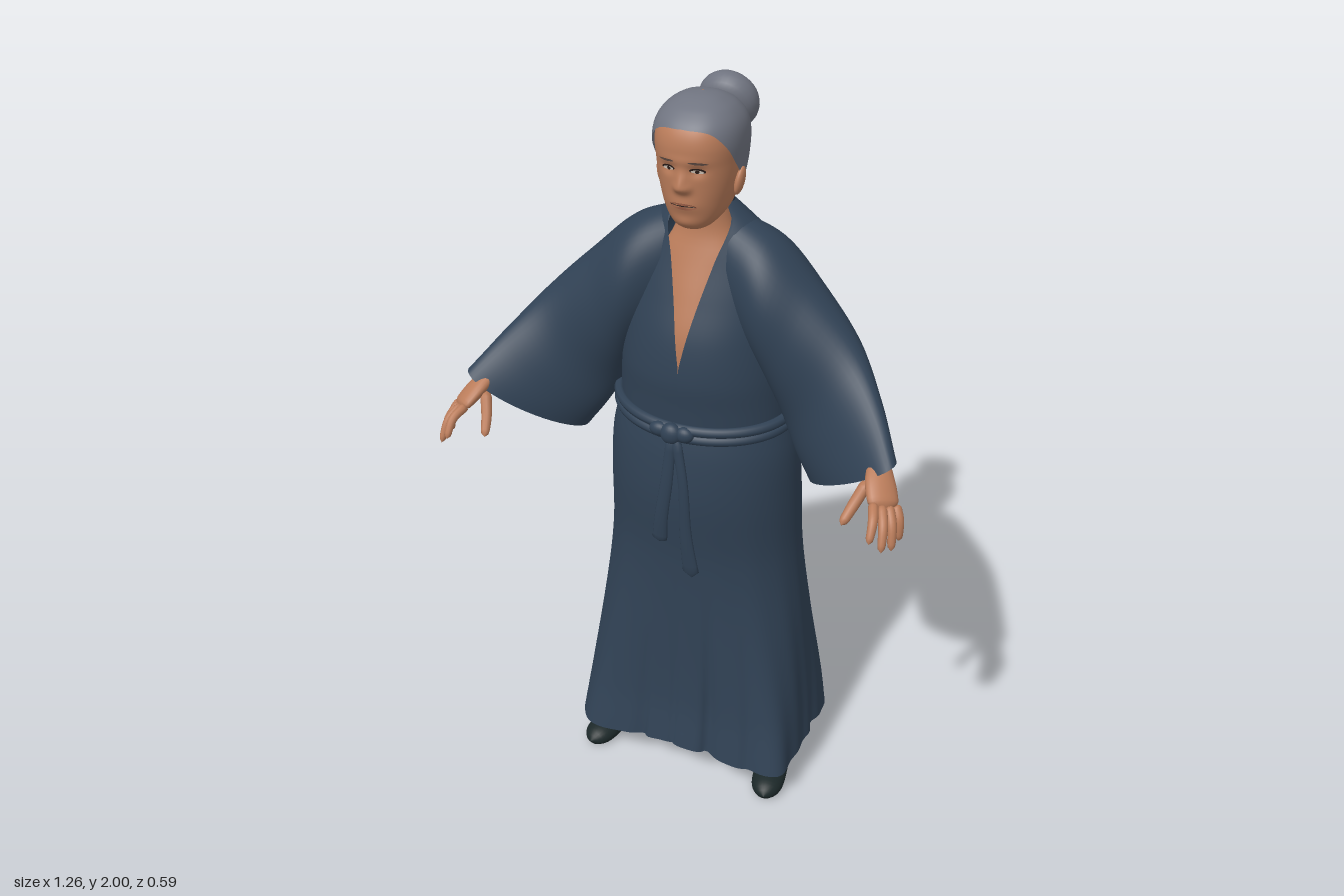
import * as THREE from 'three';

const mat = (name, color, side = THREE.FrontSide) => {
  const m = new THREE.MeshStandardMaterial({ color, side });
  m.name = name;
  return m;
};
const M = {
  robe: mat('navy cloth', 0x304154, THREE.DoubleSide),
  skin: mat('skin', 0xba7c5a),
  hair: mat('grey hair', 0x6f737f, THREE.DoubleSide),
  shoe: mat('black shoe', 0x1c2829),
  white: mat('eye white', 0xc9bdb0),
  dark: mat('dark eye', 0x2a1c18),
  brow: mat('brow grey', 0x5e4a42),
  lip: mat('lip', 0x9e6149),
};
const V = (x, y, z) => new THREE.Vector3(x, y, z);
const g = (x) => Math.exp(-x * x);
const clamp = THREE.MathUtils.clamp;

// Smooth lookup in rows [key, a, b, ...]; returns [a, b, ...]
function look(rows, k) {
  const n = rows.length - 1;
  k = clamp(k, rows[0][0], rows[n][0]);
  let i = 0;
  while (i < n - 1 && k > rows[i + 1][0]) i++;
  const slope = (j, c) => {
    const p = rows[Math.max(j - 1, 0)], q = rows[Math.min(j + 1, n)];
    return (q[c] - p[c]) / (q[0] - p[0]);
  };
  const h = rows[i + 1][0] - rows[i][0], t = (k - rows[i][0]) / h, s = 1 - t;
  return rows[i].slice(1).map((a, c) =>
    a * (1 + 2 * t) * s * s + rows[i + 1][c + 1] * t * t * (3 - 2 * t)
    + h * t * s * (s * slope(i, c + 1) - t * slope(i + 1, c + 1)));
}

// Surface from fn(u, v), with u around the part and v along it
function grid(nu, nv, fn, closed = true) {
  const pos = [], idx = [], w = closed ? nu : nu + 1;
  for (let j = 0; j <= nv; j++)
    for (let i = 0; i < w; i++) pos.push(...fn(i / nu, j / nv).toArray());
  for (let j = 0; j < nv; j++)
    for (let i = 0; i < nu; i++) {
      const a = j * w + i, b = j * w + (i + 1) % w, c = b + w, d = a + w;
      idx.push(a, b, c, a, c, d);
    }
  const geo = new THREE.BufferGeometry();
  geo.setAttribute('position', new THREE.Float32BufferAttribute(pos, 3));
  geo.setIndex(idx);
  geo.computeVertexNormals();
  return geo;
}

// Rounded limb along a path; radii are [across, through] at each point
function limb(pts, radii, side, nu = 12, nv = 16, cap = 0.12) {
  const curve = new THREE.CatmullRomCurve3(pts.map((p) => V(...p)));
  const rows = radii.map((r, i) => [i / (radii.length - 1), ...r]);
  return grid(nu, nv, (u, v) => {
    const T = curve.getTangent(v), S = V(...side);
    const U = S.addScaledVector(T, -S.dot(T)).normalize();
    const W = U.clone().cross(T), [a, b] = look(rows, v);
    const e = Math.max(0, 1 - Math.min(v, 1 - v) / cap), k = Math.sqrt(1 - e * e);
    return curve.getPoint(v).addScaledVector(U, a * k * Math.sin(u * 2 * Math.PI))
      .addScaledVector(W, b * k * Math.cos(u * 2 * Math.PI));
  });
}

// Horizontal section point for rows [y, halfWidth, zFront, zBack]; higher n is boxier
function section(rows, th, y, n = 2) {
  const [w, f, b] = look(rows, y), s = Math.sin(th), c = Math.cos(th);
  const r = Math.pow(Math.abs(s) ** n + Math.abs(c) ** n, -1 / n);
  return V(w * r * s, y, (f + b) / 2 + (f - b) / 2 * r * c);
}

const SKIRT = [[0.1, 0.335, 0.145, -0.28], [0.25, 0.322, 0.122, -0.288], [0.5, 0.297, 0.11, -0.29],
  [0.75, 0.272, 0.108, -0.282], [0.95, 0.265, 0.124, -0.28], [1.08, 0.255, 0.116, -0.262], [1.18, 0.228, 0.095, -0.243]];
const TORSO = [[1.13, 0.232, 0.095, -0.245], [1.22, 0.23, 0.1, -0.25], [1.3, 0.225, 0.105, -0.253], [1.4, 0.215, 0.09, -0.245],
  [1.5, 0.21, 0.055, -0.225], [1.58, 0.2, 0.025, -0.205], [1.64, 0.17, 0.005, -0.18], [1.69, 0.115, -0.01, -0.155], [1.73, 0.07, -0.03, -0.125]];
const CHEST = [[1.28, 0.1, 0.08, -0.1], [1.4, 0.1, 0.076, -0.1], [1.5, 0.1, 0.044, -0.1], [1.6, 0.1, 0.005, -0.1],
  [1.66, 0.075, -0.014, -0.12], [1.72, 0.064, -0.015, -0.125], [1.82, 0.062, -0.01, -0.12]];
const HEAD = [[1.684, 0.012, 0.025, 0], [1.69, 0.035, 0.038, -0.03], [1.705, 0.055, 0.05, -0.065], [1.73, 0.073, 0.06, -0.11],
  [1.77, 0.087, 0.068, -0.14], [1.81, 0.096, 0.072, -0.152], [1.85, 0.101, 0.075, -0.16], [1.9, 0.104, 0.078, -0.16], [1.94, 0.097, 0.065, -0.15],
  [1.97, 0.077, 0.036, -0.125], [1.987, 0.052, 0.005, -0.098], [1.995, 0.03, -0.02, -0.072], [1.998, 0.002, -0.045, -0.049]];
const HAIRLINE = [[0, 1.94], [35, 1.933], [55, 1.9], [72, 1.85], [85, 1.822], [110, 1.8], [140, 1.757], [180, 1.74]];
const NECKLINE = [[1.335, 0], [1.42, 0.016], [1.5, 0.033], [1.6, 0.058], [1.69, 0.082], [1.73, 0.06]];
const TAU = 2 * Math.PI, HEAD_N = 2.3;

// Head surface with the features of the face modelled in
function headPoint(th, y) {
  const p = section(HEAD, th, y, HEAD_N), x = Math.abs(p.x);
  if (Math.cos(th) > 0)
    p.z += 0.019 * g(x / 0.014) * g((y - 1.804) / (y < 1.804 ? 0.014 : 0.033))
      + 0.006 * g((x - 0.015) / 0.009) * g((y - 1.802) / 0.012)
      - 0.007 * g((x - 0.037) / 0.018) * g((y - 1.845) / 0.013)
      + 0.003 * g(x / 0.06) * g((y - 1.868) / 0.012)
      + 0.005 * g(x / 0.036) * g((y - 1.757) / 0.018)
      + 0.006 * g(x / 0.032) * g((y - 1.708) / 0.016);
  return p;
}

// Thin oval plate laid on the face
function facePatch(cx, cy, rx, ry, off, tilt = 0) {
  const geo = new THREE.CircleGeometry(1, 20).scale(rx, ry, 1).rotateZ(tilt).translate(cx, cy, 0);
  const p = geo.attributes.position;
  for (let i = 0; i < p.count; i++) {
    const y = p.getY(i), s = p.getX(i) / look(HEAD, y)[0];
    const c = Math.pow(1 - Math.abs(s) ** HEAD_N, 1 / HEAD_N);
    p.setZ(i, headPoint(Math.atan2(s, c), y).z + off);
  }
  geo.computeVertexNormals();
  return geo;
}

function flip(geo) {
  const m = geo.clone().scale(-1, 1, 1), a = m.index.array;
  for (let i = 0; i < a.length; i += 3) [a[i], a[i + 1]] = [a[i + 1], a[i]];
  m.computeVertexNormals();
  return m;
}

export function createModel() {
  const root = new THREE.Group();
  root.name = 'robedWoman';
  const add = (name, geo, material) => {
    const m = new THREE.Mesh(geo, material);
    m.name = name;
    root.add(m);
  };
  const pair = (name, geo, material) => {
    add(name + 'Left', geo, material);
    add(name + 'Right', flip(geo), material);
  };
  const ball = (x, y, z, rx, ry, rz) => new THREE.SphereGeometry(1, 20, 14).scale(rx, ry, rz).translate(x, y, z);

  // Skirt, flaring into corners at an uneven hem; creases are [angle, width, depth, top]
  const creases = [[-0.03, 0.025, 0.03, 0.72], [0.3, 0.05, 0.08, 0.66], [-0.33, 0.05, 0.07, 0.5], [0.62, 0.05, 0.04, 0.55],
    [2.6, 0.06, 0.05, 0.6], [-2.5, 0.06, 0.04, 0.6]];
  add('skirt', grid(200, 44, (u, v) => {
    const th = u * TAU, low = (1 - v) ** 2;
    const y = 0.1 + 1.08 * v, p = section(SKIRT, th, y, 2 + 4.5 * (1 - v) ** 4);
    let k = 1 + low * (0.012 * Math.sin(9 * th + 1) + 0.01 * Math.sin(17 * th + 2 * v));
    for (const [c, w, d, top] of creases) {
      const a = Math.atan2(Math.sin(th - c), Math.cos(th - c));
      k -= d * g(a / w) * clamp(2.5 * (top - y), 0, 1);
    }
    const zc = -0.07;
    return V(p.x * k, y + low * low * (0.008 + 0.012 * Math.cos(4 * th)), zc + (p.z - zc) * k);
  }), M.robe);

  // Upper robe, open in a V at the front
  const edge = (y) => Math.asin(Math.min(0.95, Math.max(0, look(NECKLINE, y)[0]) / look(TORSO, y)[0]));
  add('upperRobe', grid(72, 40, (u, v) => {
    const y = 1.13 + 0.6 * v, a = edge(y);
    return section(TORSO, a + u * (TAU - 2 * a), y);
  }, false), M.robe);
  add('chestAndNeck', grid(40, 30, (u, v) => section(CHEST, u * TAU, 1.28 + 0.54 * v)), M.skin);

  // Wide sleeves, swept between an upper and a lower edge; rows give the offset of the front face
  const upper = new THREE.CatmullRomCurve3([V(0.08, 1.7, -0.08), V(0.19, 1.655, -0.075), V(0.3, 1.557, -0.07),
    V(0.42, 1.435, -0.045), V(0.5, 1.33, 0.02), V(0.57, 1.225, 0.105)]);
  const lower = new THREE.CatmullRomCurve3([V(0.1, 1.4, -0.07), V(0.16, 1.34, -0.06), V(0.2, 1.26, -0.05),
    V(0.235, 1.185, -0.035), V(0.28, 1.12, 0), V(0.335, 1.055, 0.03)]);
  const front = [[0, 0, 0, 0.09], [0.2, 0, 0, 0.12], [0.4, 0.01, 0, 0.11], [0.6, 0.03, 0.01, 0.097], [0.8, 0.048, 0.028, 0.092], [1, 0.058, 0.045, 0.1]];
  pair('sleeve', grid(48, 30, (u, v) => {
    const T = upper.getPoint(v), B = lower.getPoint(v), th = u * TAU;
    const W = T.clone().sub(B).multiplyScalar(0.5);
    return T.add(B).multiplyScalar(0.5).addScaledVector(W, Math.cos(th)).addScaledVector(V(...look(front, v)), Math.sin(th));
  }), M.robe);

  // Rope belt, higher at the back, with a knot and two hanging ends
  for (const dy of [-0.012, 0.012]) {
    const pts = [];
    for (let i = 0; i < 32; i++) {
      const th = i / 32 * TAU, p = section(TORSO, th, 1.16);
      pts.push(V(p.x * 1.03, 1.172 + dy - 0.016 * Math.cos(th), -0.075 + (p.z + 0.075) * 1.03));
    }
    add('belt', new THREE.TubeGeometry(new THREE.CatmullRomCurve3(pts, true), 96, 0.014, 8, true), M.robe);
  }
  add('knot', ball(-0.015, 1.155, 0.112, 0.03, 0.03, 0.022), M.robe);
  add('knotLoopRight', ball(-0.05, 1.16, 0.107, 0.028, 0.02, 0.018), M.robe);
  add('knotLoopLeft', ball(0.02, 1.158, 0.109, 0.026, 0.022, 0.018), M.robe);
  add('beltEndRight', limb([[-0.012, 1.15, 0.118], [-0.022, 1.02, 0.128], [-0.04, 0.9, 0.126], [-0.05, 0.812, 0.117]],
    [[0.014, 0.01], [0.017, 0.008], [0.019, 0.008], [0.022, 0.009]], [-1, 0, 0], 12, 20, 0.02), M.robe);
  add('beltEndLeft', limb([[0, 1.15, 0.118], [0.024, 1.02, 0.128], [0.028, 0.86, 0.121], [0.04, 0.712, 0.108]],
    [[0.014, 0.01], [0.014, 0.008], [0.018, 0.008], [0.025, 0.009]], [-1, 0, 0], 12, 20, 0.02), M.robe);

  // Head, hair and bun
  add('head', grid(96, 70, (u, v) => headPoint(u * TAU, 1.684 + 0.314 * v)), M.skin);
  add('hair', grid(72, 28, (u, v) => {
    const th = u * TAU, deg = 180 - Math.abs(180 - u * 360);
    const y0 = look(HAIRLINE, deg)[0];
    const p = section(HEAD, th, y0 + (1.998 - y0) * Math.sin(v * Math.PI / 2), HEAD_N);
    return V(p.x * 1.06, p.y + 0.002, -0.045 + (p.z + 0.045) * 1.045);
  }), M.hair);
  const place = (geo) => geo.rotateX(0.37).translate(0, 1.93, -0.202);
  add('bun', place(new THREE.TorusGeometry(0.036, 0.041, 20, 36)), M.hair);
  add('bunCore', place(new THREE.SphereGeometry(1, 20, 14).scale(0.03, 0.03, 0.033)), M.hair);
  pair('ear', new THREE.SphereGeometry(1, 16, 14).scale(0.011, 0.035, 0.02).rotateX(-0.2).rotateZ(-0.15).translate(0.101, 1.8, -0.035), M.skin);

  // Eyes, brows and mouth
  pair('eyeLine', facePatch(0.037, 1.847, 0.0185, 0.0065, 0.001, -0.08), M.dark);
  pair('eyeWhite', facePatch(0.037, 1.845, 0.015, 0.004, 0.002, -0.08), M.white);
  pair('iris', facePatch(0.036, 1.845, 0.005, 0.0042, 0.003), M.dark);
  pair('brow', facePatch(0.04, 1.867, 0.022, 0.003, 0.0015, -0.08), M.brow);
  add('lips', facePatch(0, 1.756, 0.034, 0.0085, 0.001), M.lip);
  add('mouthLine', facePatch(0, 1.758, 0.035, 0.0013, 0.002), M.dark);

  // Hands with spread fingers
  const across = [0.05, -0.015, -0.04];
  pair('hand', limb([[0.46, 1.3, 0.03], [0.53, 1.222, 0.115], [0.558, 1.186, 0.17], [0.583, 1.15, 0.212]],
    [[0.03, 0.03], [0.029, 0.023], [0.04, 0.021], [0.04, 0.016]], across, 20, 20), M.skin);
  const fingers = [
    ['indexFinger', [0.556, 1.165, 0.215], [0.575, 1.1, 0.294]], ['middleFinger', [0.574, 1.16, 0.208], [0.602, 1.075, 0.28]],
    ['ringFinger', [0.588, 1.155, 0.195], [0.617, 1.062, 0.245]], ['littleFinger', [0.6, 1.15, 0.178], [0.621, 1.064, 0.2]],
    ['thumb', [0.527, 1.19, 0.165], [0.49, 1.1, 0.245]]];
  for (const [name, a, b] of fingers) {
    const isThumb = name === 'thumb', r = isThumb ? 0.016 : 0.013;
    const mid = a.map((c, i) => (c + b[i]) / 2 + [0.006, 0.012, 0.006][i] * (isThumb ? -0.4 : 1));
    pair(name, limb([a, mid, b], [[r, r], [r * 0.92, r * 0.88], [r * 0.7, r * 0.65]], across, 10, 14, 0.15), M.skin);
  }

  // Legs, feet and flat slip-on shoes turned slightly outwards
  pair('leg', limb([[0.225, 0.3, -0.105], [0.235, 0.2, -0.107], [0.24, 0.1, -0.11], [0.24, 0.04, -0.11]],
    [[0.048, 0.05], [0.042, 0.047], [0.037, 0.047], [0.032, 0.042]], [-1, 0, 0], 16, 16, 0.05), M.skin);
  pair('foot', limb([[0.24, 0.085, -0.12], [0.248, 0.072, -0.04], [0.26, 0.05, 0.03], [0.27, 0.03, 0.09]],
    [[0.034, 0.046], [0.036, 0.038], [0.038, 0.023], [0.03, 0.012]], [-1, 0, 0], 16, 16), M.skin);
  const shoe = limb([[0.232, 0.034, -0.178], [0.236, 0.034, -0.12], [0.246, 0.026, -0.05], [0.258, 0.024, 0.02], [0.27, 0.022, 0.085], [0.28, 0.02, 0.142]],
    [[0.036, 0.038], [0.041, 0.037], [0.042, 0.033], [0.047, 0.032], [0.046, 0.031], [0.03, 0.023]], [-1, 0, 0], 24, 28, 0.14);
  const sp = shoe.attributes.position;
  for (let i = 0; i < sp.count; i++) sp.setY(i, Math.max(0, sp.getY(i)));
  shoe.computeVertexNormals();
  pair('shoe', shoe, M.shoe);
  return root;
}
